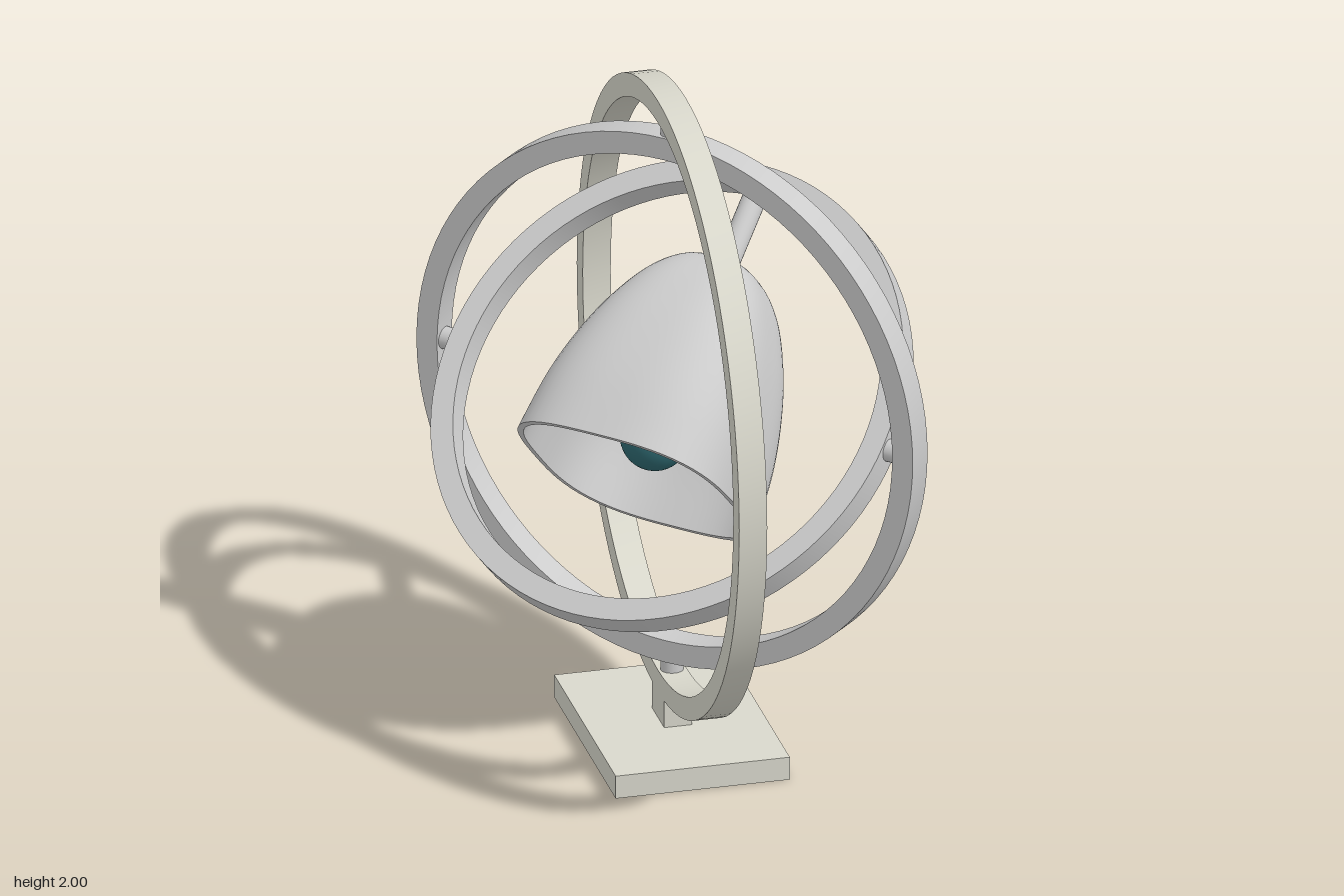
import * as THREE from 'three';
import { toCreasedNormals } from 'three/addons/utils/BufferGeometryUtils.js';

const grey = new THREE.MeshStandardMaterial({ color: 0xcccccc });
const stone = new THREE.MeshStandardMaterial({ color: 0xd9d8cc });
const teal = new THREE.MeshStandardMaterial({ color: 0x2f6a72 });

function add(parent, name, geometry, material, x = 0, y = 0, z = 0) {
  const mesh = new THREE.Mesh(geometry, material);
  mesh.name = name;
  mesh.position.set(x, y, z);
  parent.add(mesh);
  return mesh;
}

function addGroup(parent, name) {
  const group = new THREE.Group();
  group.name = name;
  parent.add(group);
  return group;
}

// Flat band with a rectangular section, standing in the XY plane
function ringGeometry(outer, inner, depth) {
  const h = depth / 2;
  const profile = [[outer, -h], [outer, h], [inner, h], [inner, -h], [outer, -h]]
    .map(([x, y]) => new THREE.Vector2(x, y));
  const geometry = new THREE.LatheGeometry(profile, 96).rotateX(Math.PI / 2);
  return toCreasedNormals(geometry, 0.6);
}

// Hollow bell along +Y whose cross-section is a rounded square
function bellGeometry() {
  const outerCurve = new THREE.SplineCurve([
    [0.335, -0.275], [0.32, -0.1], [0.29, 0.05], [0.245, 0.19],
    [0.18, 0.32], [0.1, 0.4], [0, 0.425],
  ].map(([x, y]) => new THREE.Vector2(x, y)));
  const outer = outerCurve.getPoints(28);
  outer[28].x = 0;
  const inner = outer.map(p => new THREE.Vector2(p.x * 0.95, -0.275 + (p.y + 0.275) * 0.97)).reverse();
  const geometry = new THREE.LatheGeometry([...inner, ...outer], 72);
  const pos = geometry.attributes.position;
  for (let i = 0; i < pos.count; i++) {
    const x = pos.getX(i), z = pos.getZ(i), r = Math.hypot(x, z);
    if (r < 1e-6) continue;
    const k = Math.pow(Math.abs(x / r) ** 3 + Math.abs(z / r) ** 3, -1 / 3);
    pos.setX(i, x * k);
    pos.setZ(i, z * k);
  }
  return toCreasedNormals(geometry, 0.8);
}

export function createModel() {
  const model = new THREE.Group();
  model.name = 'gimbalBell';

  // Stand: plinth, post and fixed outer ring
  const stand = addGroup(model, 'stand');
  stand.rotation.y = THREE.MathUtils.degToRad(59.1);
  add(stand, 'plinth', new THREE.BoxGeometry(0.7, 0.07, 0.51), stone, 0, 0.035, 0);
  add(stand, 'post', new THREE.BoxGeometry(0.14, 0.11, 0.082), stone, 0, 0.12, 0);
  add(stand, 'outerRing', ringGeometry(0.925, 0.857, 0.082), stone, 0, 1.075, 0);

  // Middle ring turns about the vertical axis
  const middle = addGroup(model, 'middleGimbal');
  middle.position.y = 1.075;
  middle.rotation.y = THREE.MathUtils.degToRad(-76.2);
  add(middle, 'middleRing', ringGeometry(0.82, 0.752, 0.082), grey);

  // Inner ring tilts about the middle ring's horizontal axis
  const inner = addGroup(middle, 'innerGimbal');
  inner.rotation.x = THREE.MathUtils.degToRad(-46.4);
  add(inner, 'innerRing', ringGeometry(0.717, 0.649, 0.082), grey);

  // Pivot pins between the rings
  for (const side of [-1, 1]) {
    add(middle, 'verticalPin', new THREE.CylinderGeometry(0.033, 0.033, 0.06, 24), grey, 0, side * 0.838, 0);
    add(middle, 'horizontalPin', new THREE.CylinderGeometry(0.033, 0.033, 0.06, 24), grey, side * 0.735, 0, 0)
      .rotation.z = Math.PI / 2;
  }

  // Bell hung on a rod, with a ball inside
  add(inner, 'hangingRod', new THREE.CylinderGeometry(0.035, 0.035, 0.28, 24), grey, 0, 0.52, 0);
  add(inner, 'bell', bellGeometry(), grey);
  add(inner, 'innerBall', new THREE.SphereGeometry(0.1, 32, 20), teal, 0, -0.13, 0);

  return model;
}
